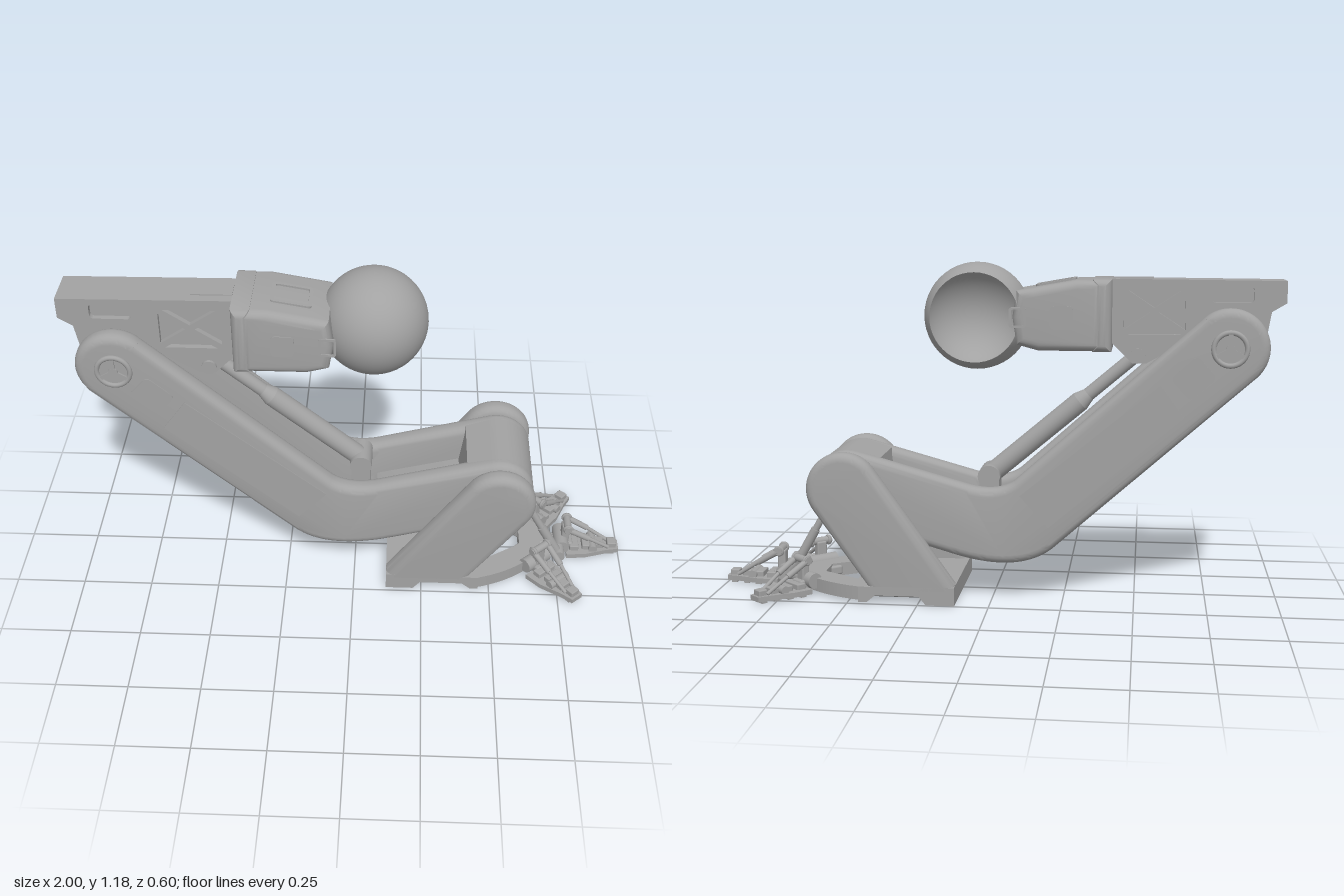
import * as THREE from 'three';
import { toCreasedNormals } from 'three/addons/utils/BufferGeometryUtils.js';
import { RoundedBoxGeometry } from 'three/addons/geometries/RoundedBoxGeometry.js';

const grey = new THREE.MeshStandardMaterial({ color: 0xa2a2a2, side: THREE.DoubleSide });
grey.name = 'grey';

function add(parent, name, geo, x = 0, y = 0, z = 0) {
  const m = new THREE.Mesh(geo, grey);
  m.name = name;
  m.position.set(x, y, z);
  parent.add(m);
  return m;
}
const poly = (pts, Type = THREE.Shape) => new Type(pts.map(p => new THREE.Vector2(p[0], p[1])));

// side profile extruded from z0 to z1, with rounded rims of size b
function slab(shape, z0, z1, b = 0) {
  const geo = new THREE.ExtrudeGeometry(shape, {
    depth: z1 - z0 - 2 * b, bevelEnabled: b > 0, bevelThickness: b, bevelSize: b,
    bevelOffset: -b, bevelSegments: 5, curveSegments: 28,
  });
  return toCreasedNormals(geo.translate(0, 0, z0 + b), 0.6);
}
// plan outline (x, z) extruded from y0 to y1
const plan = (shape, y0, y1) => slab(shape, -y1, -y0).rotateX(Math.PI / 2);

// round bar between two points
function rod(parent, name, a, b, r, r2 = r) {
  const A = new THREE.Vector3(...a), B = new THREE.Vector3(...b);
  const m = add(parent, name, new THREE.CylinderGeometry(r2, r, A.distanceTo(B), 24));
  m.position.copy(A).lerp(B, 0.5);
  m.quaternion.setFromUnitVectors(new THREE.Vector3(0, 1, 0), B.sub(A).normalize());
  return m;
}
// pin lying along z
const pin = (parent, name, x, y, r, z0, z1) => rod(parent, name, [x, y, z0], [x, y, z1], r);

// rounded rectangle, used for panels and pockets
function roundRect(x0, y0, x1, y1, r, Type = THREE.Shape) {
  const s = new Type();
  s.moveTo(x0 + r, y0);
  s.lineTo(x1 - r, y0); s.quadraticCurveTo(x1, y0, x1, y0 + r);
  s.lineTo(x1, y1 - r); s.quadraticCurveTo(x1, y1, x1 - r, y1);
  s.lineTo(x0 + r, y1); s.quadraticCurveTo(x0, y1, x0, y1 - r);
  s.lineTo(x0, y0 + r); s.quadraticCurveTo(x0, y0, x0 + r, y0);
  return s;
}
function frame(x0, y0, x1, y1, w) {
  const s = roundRect(x0, y0, x1, y1, 0.012);
  s.holes.push(roundRect(x0 + w, y0 + w, x1 - w, y1 - w, 0.008, THREE.Path));
  return s;
}

function upperArm(g) {
  const outline = () => poly([[-1, 1.05], [-0.95, 1.02], [-0.93, 0.9], [-0.88, 0.82], [-0.81, 0.79],
    [-0.73, 0.82], [-0.67, 0.92], [-0.53, 0.84], [-0.48, 0.84], [-0.4, 0.92], [-0.4, 1.13], [-1, 1.125]]);
  add(g, 'upperBeamCore', slab(outline(), -0.055, 0.05));
  // skins pierced by a slot and a cross-braced window
  const skin = outline();
  skin.holes.push(roundRect(-0.89, 1.05, -0.75, 1.105, 0.015, THREE.Path));
  const cx = -0.555, cy = 1.015, w = 0.105, h = 0.075, gap = 0.016;
  for (const s of [-1, 1]) {
    skin.holes.push(poly([[cx - w + gap, cy + s * h], [cx + w - gap, cy + s * h], [cx, cy + s * gap]], THREE.Path));
    skin.holes.push(poly([[cx + s * w, cy - h + gap], [cx + s * w, cy + h - gap], [cx + s * gap, cy]], THREE.Path));
  }
  add(g, 'upperBeamSkin', slab(skin, 0.05, 0.07));
  add(g, 'upperBeamSkin', slab(skin, -0.075, -0.055));
  add(g, 'beamTopPanel', new THREE.BoxGeometry(0.14, 0.006, 0.07), -0.48, 1.13, 0);

  // cuff and socket
  add(g, 'cuffCollar', slab(poly([[-0.41, 0.882], [-0.345, 0.882], [-0.345, 1.13], [-0.41, 1.13]]), -0.15, 0.14, 0.03));
  add(g, 'cuffBody', slab(poly([[-0.38, 0.885], [-0.16, 0.885], [-0.085, 0.905], [-0.07, 1.0], [-0.085, 1.09],
    [-0.14, 1.1], [-0.29, 1.127], [-0.38, 1.127]]), -0.15, 0.138, 0.03));
  for (const z of [0.136, -0.154]) {
    add(g, 'cuffPocketFrame', slab(frame(-0.12, 0.965, -0.06, 1.035, 0.008), z, z + 0.006));
    add(g, 'cuffPanel', slab(roundRect(-0.28, 0.96, -0.2, 1.04, 0.02), z, z + 0.005));
  }
  const top = add(g, 'cuffTopFrame', plan(frame(-0.07, -0.06, 0.07, 0.06, 0.012), 0, 0.008), -0.215, 1.112, 0);
  top.rotation.z = -0.17;
  const cup = new THREE.SphereGeometry(0.187, 48, 32, 0, Math.PI * 2, 0, 2.167).rotateX(Math.PI / 2);
  add(g, 'socketShell', cup, 0.06, 0.998, -0.04);
}

function shin(g) {
  const lower = s => { // lower contour and ankle end, shared by plates and floor
    s.lineTo(-0.22, 0.195);
    s.quadraticCurveTo(-0.1, 0.09, 0.15, 0.165);
    s.lineTo(0.545, 0.278);
    s.absarc(0.515, 0.4, 0.125, -1.33, 1.82, false);
  };
  const side = new THREE.Shape();
  side.moveTo(-0.9, 0.8);
  lower(side);
  side.lineTo(0.08, 0.41);
  side.quadraticCurveTo(-0.02, 0.385, -0.08, 0.43);
  side.lineTo(-0.72, 1.0);
  side.absarc(-0.81, 0.9, 0.135, 0.84, 0.84 + Math.PI, false);
  const floor = new THREE.Shape();
  floor.moveTo(-0.79, 0.702);
  lower(floor);
  floor.lineTo(0.4, 0.497);
  floor.lineTo(0.38, 0.36);
  floor.lineTo(0.08, 0.28);
  floor.quadraticCurveTo(0, 0.21, -0.1, 0.25);
  floor.lineTo(-0.7, 0.78);
  add(g, 'shinFloor', slab(floor, -0.13, 0.13));

  const panel = poly([[-0.58, 0.775], [-0.1, 0.38], [-0.2, 0.27], [-0.66, 0.665]]);
  const badge = roundRect(-0.06, -0.05, 0.06, 0.05, 0.02);
  for (const s of [-1, 1]) {
    const half = new THREE.Group();
    half.name = s > 0 ? 'frontShinHalf' : 'backShinHalf';
    if (s < 0) half.rotation.y = 0;
    g.add(half);
    const zs = (a, b) => s > 0 ? [a, b] : [-b, -a];
    add(half, 'shinPlate', slab(side, ...zs(0.085, 0.16), 0.03));
    add(half, 'shinPanel', slab(panel, ...zs(0.156, 0.163)));
    add(half, 'kneePanel', slab(badge, ...zs(0.156, 0.163)), -0.69, 0.8).rotation.z = -0.73;
    // knee bearing with three spokes
    add(half, 'kneeRing', new THREE.TorusGeometry(0.056, 0.009, 10, 36), -0.81, 0.9, s * 0.162);
    pin(half, 'kneeDisc', -0.81, 0.9, 0.055, s * 0.15, s * 0.163);
    pin(half, 'kneeHub', -0.81, 0.9, 0.016, s * 0.15, s * 0.17);
    for (let i = 0; i < 3; i++) {
      const a = Math.PI / 2 + i * Math.PI * 2 / 3;
      add(half, 'kneeSpoke', new THREE.BoxGeometry(0.045, 0.014, 0.008),
        -0.81 + 0.033 * Math.cos(a), 0.9 + 0.033 * Math.sin(a), s * 0.165).rotation.z = a;
    }
  }
  pin(g, 'kneeAxle', -0.81, 0.9, 0.05, -0.12, 0.12);
}

function ram(g) {
  add(g, 'ramMount', new THREE.BoxGeometry(0.07, 0.22, 0.09), 0.02, 0.31, 0);
  pin(g, 'ramLowerPin', 0.02, 0.425, 0.04, -0.055, 0.055);
  rod(g, 'ramSleeve', [0.02, 0.425, 0], [-0.3, 0.695, 0], 0.036);
  rod(g, 'ramTaper', [-0.3, 0.695, 0], [-0.33, 0.72, 0], 0.036, 0.024);
  rod(g, 'ramRod', [-0.3, 0.695, 0], [-0.5, 0.865, 0], 0.024);
  pin(g, 'ramUpperPin', -0.5, 0.865, 0.026, -0.08, 0.08);
}

function foot(g) {
  const bracket = new THREE.Shape();
  bracket.moveTo(0.12, 0.02);
  bracket.lineTo(0.42, 0.02);
  bracket.lineTo(0.42, 0.046);
  bracket.absarc(0.515, 0.4, 0.13, -0.63, 2.51, false);
  bracket.lineTo(0.12, 0.07);
  add(g, 'ankleBracket', slab(bracket, 0.166, 0.24, 0.03));
  add(g, 'ankleBracket', slab(bracket, -0.24, -0.166, 0.03));
  pin(g, 'ankleAxle', 0.515, 0.4, 0.07, -0.2, 0.2);
  // heel with an arched underside
  add(g, 'heel', slab(poly([[0.12, 0], [0.22, 0], [0.245, 0.03], [0.4, 0.03], [0.43, 0.005], [0.46, 0.005],
    [0.46, 0.06], [0.12, 0.065]]), -0.24, 0.24));
  // forefoot arch with a triangular opening
  const arch = new THREE.Shape();
  arch.moveTo(0.45, -0.24);
  arch.quadraticCurveTo(0.6, -0.2, 0.7, -0.08);
  arch.lineTo(0.7, 0.08);
  arch.quadraticCurveTo(0.6, 0.2, 0.45, 0.24);
  arch.holes.push(poly([[0.48, -0.14], [0.48, 0.14], [0.62, 0.05], [0.62, -0.05]], THREE.Path));
  add(g, 'forefootArch', plan(arch, 0.012, 0.06));
  for (const z of [-0.09, 0, 0.09])
    add(g, 'footBlock', new THREE.BoxGeometry(0.09, 0.04, 0.06), 0.43, 0.075, z);
  // ankle strut
  rod(g, 'strutSleeve', [0.6, 0.345, 0.085], [0.7, 0.165, 0.085], 0.013);
  rod(g, 'strutRod', [0.69, 0.183, 0.085], [0.765, 0.05, 0.085], 0.017);
  pin(g, 'strutPin', 0.765, 0.055, 0.022, 0.06, 0.11);
}

function toe(parent, name, x, z, turn) {
  const t = new THREE.Group();
  t.name = name;
  t.position.set(x, 0, z);
  t.rotation.y = turn;
  parent.add(t);
  const sole = poly([[-0.01, -0.065], [0.06, -0.06], [0.14, -0.035], [0.19, -0.025], [0.19, 0.025],
    [0.14, 0.035], [0.06, 0.06], [-0.01, 0.065]]);
  add(t, 'toeSole', plan(sole, 0.008, 0.026));
  add(t, 'toeNeck', new RoundedBoxGeometry(0.15, 0.035, 0.06, 2, 0.008), -0.06, 0.035, 0);
  [0.055, 0.045, 0.032, 0.025].forEach((w, i) => {
    add(t, 'treadRib', new THREE.BoxGeometry(0.022, 0.012, 2 * w), 0.02 + i * 0.048, 0.006, 0);
    add(t, 'toeSegment', new RoundedBoxGeometry(0.034, 0.024, 1.5 * w, 2, 0.004), 0.02 + i * 0.048, 0.034, 0);
  });
  pin(t, 'toeKnuckle', -0.03, 0.05, 0.028, -0.055, 0.055);
  pin(t, 'toeJoint', 0.09, 0.035, 0.016, -0.045, 0.045);
  add(t, 'toeLug', new RoundedBoxGeometry(0.03, 0.09, 0.04, 2, 0.006), -0.015, 0.08, 0);
  pin(t, 'toeLugPin', -0.01, 0.125, 0.014, -0.045, 0.045);
  for (const s of [-1, 1]) {
    add(t, 'toeEye', new THREE.TorusGeometry(0.014, 0.006, 8, 20), -0.01, 0.125, s * 0.035);
    rod(t, 'toeRamSleeve', [-0.005, 0.122, s * 0.035], [0.07, 0.08, s * 0.03], 0.011);
    rod(t, 'toeRamRod', [0.07, 0.08, s * 0.03], [0.15, 0.03, s * 0.02], 0.007);
  }
}

export function createModel() {
  const root = new THREE.Group();
  root.name = 'mechanicalLeg';
  const leg = new THREE.Group();
  leg.name = 'leg';
  leg.position.z = -0.005;
  root.add(leg);
  [upperArm, shin, ram, foot].forEach(build => build(leg));
  toe(root, 'middleToe', 0.81, -0.005, 0);
  toe(root, 'backToe', 0.695, -0.145, 0.85);
  toe(root, 'frontToe', 0.695, 0.14, -0.85);
  return root;
}
